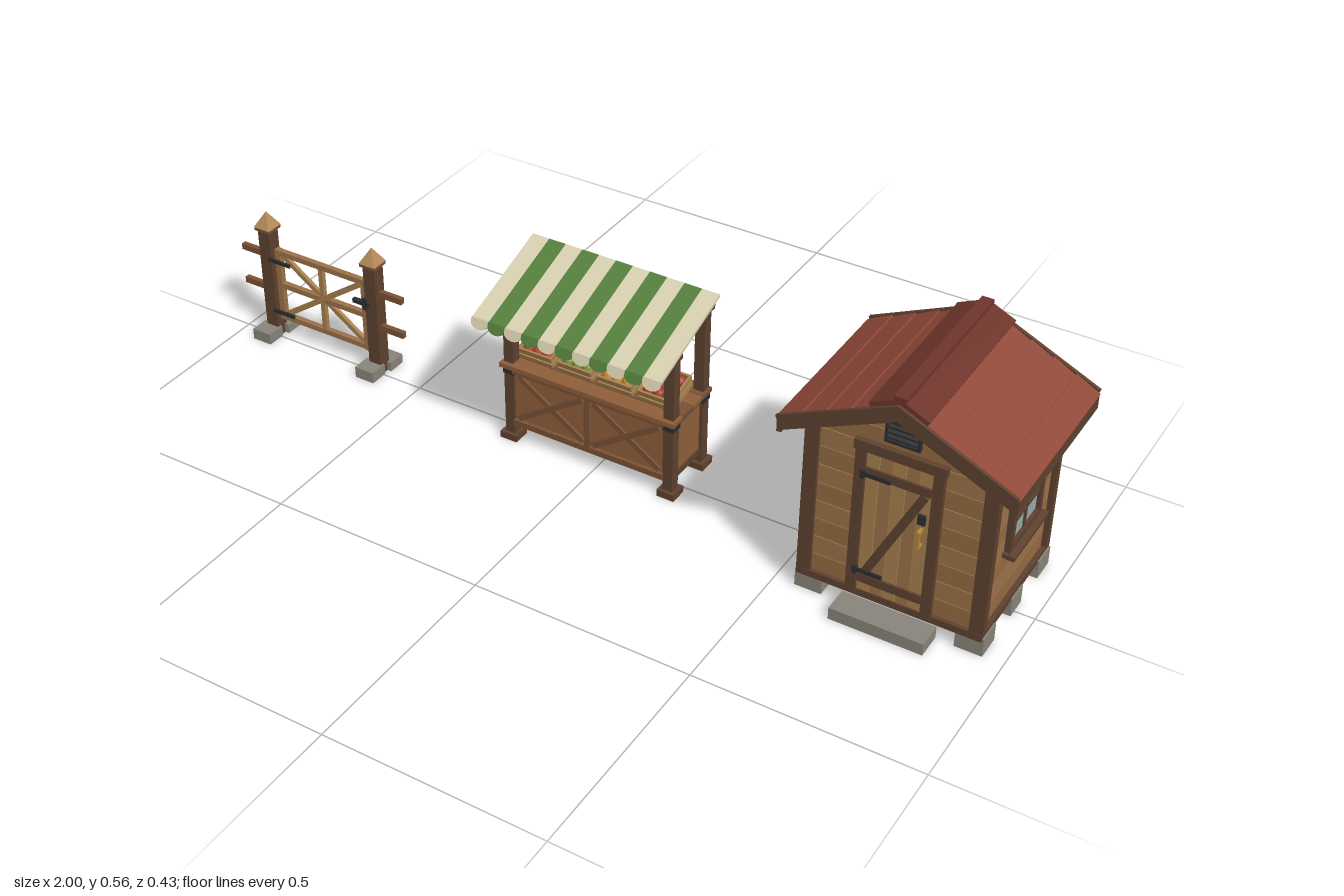
import * as THREE from 'three';

const C = {
  dark: 0x5f4130, wall: 0x9c7349, wall2: 0x956c43, light: 0xa8824f, panel: 0x8f5f3a, floor: 0x3a251c,
  stone: 0x8a857b, glass: 0x94acaa, red: 0x91493a, red2: 0x6e352b, iron: 0x2c2e30, brass: 0xb58a35,
  cream: 0xd8d0b0, green: 0x55803d, tan: 0xb58a5a, rail: 0x7a5236,
};
const mats = {};
const mat = (c) => (mats[c] ??= new THREE.MeshStandardMaterial({ color: C[c], flatShading: true, side: THREE.DoubleSide }));

function add(g, name, c, geo, pos = [0, 0, 0], rot = [0, 0, 0]) {
  const m = new THREE.Mesh(geo, mat(c));
  m.name = name;
  m.position.set(...pos);
  m.rotation.set(...rot);
  g.add(m);
  return m;
}
const box = (g, name, c, size, pos, rot) => add(g, name, c, new THREE.BoxGeometry(...size), pos, rot);
// box given by its low and high corners
const span = (g, name, c, [x0, x1], [y0, y1], [z0, z1]) =>
  box(g, name, c, [x1 - x0, y1 - y0, z1 - z0], [(x0 + x1) / 2, (y0 + y1) / 2, (z0 + z1) / 2]);
// bar between two points of an xy plane
const bar = (g, name, c, [x0, y0], [x1, y1], w, d, z) =>
  box(g, name, c, [Math.hypot(x1 - x0, y1 - y0), w, d], [(x0 + x1) / 2, (y0 + y1) / 2, z], [0, 0, Math.atan2(y1 - y0, x1 - x0)]);
const plate = (points, depth) => new THREE.ExtrudeGeometry(
  new THREE.Shape(points.map((p) => new THREE.Vector2(...p))), { depth, bevelEnabled: false });
function group(parent, name, x = 0, y = 0, z = 0) {
  const g = new THREE.Group();
  g.name = name;
  g.position.set(x, y, z);
  parent.add(g);
  return g;
}

function buildGate(root) {
  const g = group(root, 'gate', -0.772, 0, -0.012);
  for (const s of [-1, 1]) {
    const x = s * 0.15;
    span(g, 'gatePost', 'dark', [x - 0.016, x + 0.016], [0, 0.285], [-0.016, 0.016]);
    box(g, 'postCollar', 'rail', [0.042, 0.008, 0.042], [x, 0.288, 0]);
    add(g, 'postCap', 'tan', new THREE.CylinderGeometry(0, 0.031, 0.038, 4), [x, 0.311, 0], [0, Math.PI / 4, 0]);
    box(g, 'footStone', 'stone', [0.05, 0.027, 0.046], [x - 0.004, 0.0135, 0.03]);
    box(g, 'footStone', 'stone', [0.046, 0.023, 0.044], [x + 0.004, 0.0115, -0.03]);
    // short fence rails running outwards
    for (const y of [0.123, 0.214]) box(g, 'fenceRail', 'rail', [0.085, 0.015, 0.012], [s * 0.186, y, 0]);
  }
  // gate leaf
  for (const x of [-0.123, 0.123]) box(g, 'gateStile', 'wall', [0.014, 0.19, 0.014], [x, 0.143, 0]);
  for (const y of [0.056, 0.143, 0.231]) box(g, 'gateRail', 'wall', [0.25, 0.013, 0.013], [0, y, 0]);
  box(g, 'gateMullion', 'light', [0.012, 0.17, 0.011], [0, 0.143, 0]);
  for (const s of [-1, 1]) bar(g, 'gateBrace', 'light', [-0.118, 0.143 - s * 0.083], [0.118, 0.143 + s * 0.083], 0.012, 0.009, s * 0.003);
  for (const y of [0.075, 0.214]) box(g, 'gateHinge', 'iron', [0.06, 0.009, 0.005], [-0.108, y, 0.018]);
  box(g, 'gateLatch', 'iron', [0.045, 0.01, 0.01], [0.124, 0.185, 0.016]);
  box(g, 'latchPlate', 'iron', [0.01, 0.03, 0.006], [0.135, 0.185, 0.018]);
}

function buildStall(root) {
  const g = group(root, 'marketStall', -0.018, 0, 0);
  const px = 0.2, zf = 0.035, zb = -0.09;
  for (const s of [-1, 1]) {
    for (const [z, h] of [[zf, 0.37], [zb, 0.42]]) {
      box(g, 'stallPost', 'dark', [0.024, h, 0.024], [s * px, h / 2, z]);
      box(g, 'postFoot', 'dark', [0.042, 0.016, 0.042], [s * px, 0.008, z]);
      box(g, 'postBracket', 'iron', [0.028, 0.016, 0.028], [s * px, 0.18, z]);
      bar(g, 'kneeBrace', 'rail', [s * px, h - 0.06], [s * (px - 0.04), h - 0.012], 0.011, 0.012, z);
    }
    // end panel, its rails and the rafter
    span(g, 'endPanel', 'panel', [s * px - 0.004, s * px + 0.004], [0.04, 0.19], [zb, zf]);
    for (const y of [0.045, 0.18]) box(g, 'endRail', 'dark', [0.016, 0.014, 0.12], [s * px, y, (zf + zb) / 2]);
    box(g, 'rafter', 'dark', [0.016, 0.014, 0.24], [s * px, 0.382, 0.012], [0.34, 0, 0]);
  }
  box(g, 'frontBeam', 'dark', [0.44, 0.018, 0.016], [0, 0.362, zf]);
  box(g, 'backBeam', 'dark', [0.44, 0.02, 0.018], [0, 0.413, zb - 0.004]);
  box(g, 'backStretcher', 'dark', [0.4, 0.016, 0.014], [0, 0.05, zb]);
  box(g, 'backApron', 'dark', [0.4, 0.018, 0.012], [0, 0.178, zb]);

  // front panel with two crossed bays
  span(g, 'frontPanel', 'panel', [-0.19, 0.19], [0.04, 0.19], [zf - 0.004, zf + 0.006]);
  for (const y of [0.048, 0.184]) box(g, 'panelRail', 'rail', [0.38, 0.014, 0.012], [0, y, zf + 0.009]);
  box(g, 'panelStile', 'rail', [0.014, 0.13, 0.012], [0, 0.116, zf + 0.009]);
  for (const cx of [-0.095, 0.095]) for (const s of [-1, 1])
    bar(g, 'panelBrace', 'rail', [cx - 0.082, 0.116 - s * 0.055], [cx + 0.082, 0.116 + s * 0.055], 0.013, 0.006, zf + 0.009 + s * 0.001);

  // plank counter
  for (let i = 0; i < 4; i++) box(g, 'counterPlank', i % 2 ? 'panel' : 'rail', [0.436, 0.011, 0.039], [0, 0.196, -0.085 + i * 0.041]);

  // tilted crates of produce
  const colours = [0xb4452f, 0x6f8f3a, 0xc9862f, 0xa83b35];
  colours.forEach((col, i) => {
    const c = group(g, 'produceCrate', -0.15 + i * 0.1, 0.216, -0.025);
    c.rotation.x = 0.25;
    box(c, 'crateBase', 'rail', [0.08, 0.005, 0.08], [0, -0.009, 0]);
    for (const s of [-1, 1]) for (const y of [-0.002, 0.016]) {
      box(c, 'crateSlat', 'light', [0.084, 0.013, 0.005], [0, y, s * 0.04]);
      box(c, 'crateSide', 'light', [0.005, 0.013, 0.08], [s * 0.04, y, 0]);
    }
    const fruit = new THREE.MeshStandardMaterial({ color: col, flatShading: true });
    for (let k = 0; k < 9; k++) {
      const m = new THREE.Mesh(new THREE.IcosahedronGeometry(0.0135, 1), fruit);
      m.name = 'produce';
      m.position.set((k % 3 - 1) * 0.024, 0.014, (Math.floor(k / 3) - 1) * 0.024);
      c.add(m);
    }
  });

  // hanging blank board
  box(g, 'signFrame', 'rail', [0.134, 0.044, 0.007], [0, 0.289, zf]);
  for (const s of [-1, 1]) {
    box(g, 'signFace', 'cream', [0.122, 0.032, 0.002], [0, 0.289, zf + s * 0.004]);
    box(g, 'signHanger', 'iron', [0.004, 0.05, 0.004], [s * 0.05, 0.334, zf]);
  }

  // striped awning with a scalloped edge
  const n = 11, w = 0.46 / n;
  for (let i = 0; i < n; i++) {
    const x = (i - (n - 1) / 2) * w, c = i % 2 ? 'green' : 'cream';
    box(g, 'awningStripe', c, [w, 0.007, 0.25], [x, 0.395, 0.014], [0.34, 0, 0]);
    const edge = [[-w / 2, 0]];
    for (let k = 0; k <= 8; k++) edge.push([-w / 2 * Math.cos(k * Math.PI / 8), -0.01 - 0.014 * Math.sin(k * Math.PI / 8)]);
    edge.push([w / 2, 0]);
    add(g, 'awningScallop', c, plate(edge, 0.005), [x, 0.357, 0.129], [-0.35, 0, 0]);
  }
}

function buildShed(root) {
  const g = group(root, 'shed', 0.75, 0, -0.008);
  const hx = 0.2, hz = 0.168, slope = 0.46, under = (d) => 0.515 - slope * d;

  // foundation stones, step, floor and joists
  for (const x of [-0.175, 0.175]) for (const z of [-0.139, 0, 0.136])
    box(g, 'foundationStone', 'stone', [0.06, 0.043, z ? 0.058 : 0.052], [x, 0.0215, z]);
  span(g, 'doorStep', 'stone', [-0.1, 0.105], [0, 0.028], [0.162, 0.223]);
  span(g, 'floor', 'floor', [-0.19, 0.19], [0.034, 0.05], [-0.16, 0.16]);
  for (const s of [-1, 1]) {
    box(g, 'sideSill', 'dark', [0.022, 0.016, 0.338], [s * 0.19, 0.045, 0]);
    box(g, 'endSill', 'dark', [0.4, 0.016, 0.022], [0, 0.045, s * 0.158]);
    box(g, 'joist', 'dark', [0.36, 0.03, 0.04], [0, 0.024, s * 0.075]);
    box(g, 'skid', 'dark', [0.03, 0.026, 0.25], [s * 0.165, 0.024, 0]);
  }

  // dark core seen through the gaps between planks
  const core = [[-0.184, 0.05], [0.184, 0.05], [0.184, under(0.184)], [0, under(0)], [-0.184, under(0.184)]];
  add(g, 'wallCore', 'floor', plate(core, 0.304), [0, 0, -0.152]);

  // wall planks, trimmed to the gable at the ends
  const step = 0.0443, halfWidth = (y) => Math.max(0.001, Math.min(0.186, (0.515 - y) / slope));
  for (let i = 0; i < 11; i++) {
    const y0 = 0.051 + i * step, y1 = Math.min(y0 + step - 0.002, 0.514), c = i % 2 ? 'wall' : 'wall2';
    const a = halfWidth(y0), b = halfWidth(y1);
    for (const s of [-1, 1]) {
      add(g, 'endPlank', c, plate([[-a, y0], [a, y0], [b, y1], [-b, y1]], 0.008), [0, 0, s > 0 ? 0.152 : -0.16]);
      if (i < 8) span(g, 'sidePlank', c, s > 0 ? [0.183, 0.191] : [-0.191, -0.183], [y0, y1], [-0.152, 0.152]);
    }
  }
  for (const x of [-1, 1]) {
    for (const z of [-1, 1]) box(g, 'cornerPost', 'dark', [0.03, 0.375, 0.019], [x * 0.187, 0.236, z * (hz - 0.0095)]);
    for (const z of [-1, 1]) box(g, 'cornerReturn', 'dark', [0.012, 0.375, 0.02], [x * (hx - 0.006), 0.236, z * (hz - 0.01)]);
  }

  // plank door with a braced frame
  for (const s of [-1, 1]) box(g, 'doorJamb', 'dark', [0.022, 0.37, 0.016], [s * 0.081, 0.226, 0.164]);
  box(g, 'doorHead', 'dark', [0.192, 0.022, 0.018], [0, 0.403, 0.164]);
  for (let i = 0; i < 5; i++) box(g, 'doorPlank', i % 2 ? 'wall' : 'light', [0.0265, 0.348, 0.008], [(i - 2) * 0.028, 0.218, 0.162]);
  for (const y of [0.085, 0.345]) box(g, 'doorLedge', 'dark', [0.136, 0.02, 0.006], [0, y, 0.168]);
  bar(g, 'doorBrace', 'dark', [-0.056, 0.097], [0.056, 0.333], 0.018, 0.005, 0.168);
  for (const y of [0.105, 0.34]) {
    box(g, 'doorHinge', 'iron', [0.06, 0.009, 0.004], [-0.045, y, 0.173]);
    box(g, 'hingePin', 'iron', [0.009, 0.018, 0.009], [-0.073, y, 0.173]);
  }
  box(g, 'doorLock', 'iron', [0.016, 0.022, 0.007], [0.055, 0.28, 0.172]);
  box(g, 'doorHandle', 'brass', [0.007, 0.042, 0.005], [0.055, 0.235, 0.181]);
  for (const y of [0.217, 0.253]) box(g, 'handleMount', 'brass', [0.007, 0.006, 0.016], [0.055, y, 0.173]);

  // windows on the left side and the back
  for (const [x, z, ry] of [[0.19, 0, Math.PI / 2], [0, -0.16, Math.PI]]) {
    const w = group(g, 'window', x, 0, z);
    w.rotation.y = ry;
    box(w, 'glass', 'glass', [0.13, 0.12, 0.006], [0, 0.26, 0.003]);
    for (const s of [-1, 1]) {
      box(w, 'windowJamb', 'dark', [0.015, 0.132, 0.016], [s * 0.07, 0.262, 0.006]);
      box(w, 'windowRail', 'dark', [0.154, 0.014, 0.016], [0, 0.262 + s * 0.059, 0.006]);
    }
    box(w, 'mullion', 'dark', [0.008, 0.115, 0.01], [0, 0.26, 0.005]);
    box(w, 'transom', 'dark', [0.13, 0.008, 0.01], [0, 0.258, 0.005]);
    box(w, 'windowSill', 'dark', [0.171, 0.01, 0.03], [0, 0.191, 0.012], [0.08, 0, 0]);
  }

  // louvred vents in both gables
  for (const ry of [0, Math.PI]) {
    const v = group(g, 'gableVent', 0, 0.455, 0);
    v.rotation.y = ry;
    box(v, 'ventBack', 'floor', [0.066, 0.046, 0.006], [0, 0, 0.161]);
    for (const s of [-1, 1]) {
      box(v, 'ventSide', 'iron', [0.006, 0.052, 0.012], [s * 0.034, 0, 0.163]);
      box(v, 'ventRail', 'iron', [0.074, 0.006, 0.012], [0, s * 0.024, 0.163]);
    }
    for (const y of [-0.012, 0, 0.012]) box(v, 'ventSlat', 'iron', [0.062, 0.003, 0.01], [0, y, 0.165], [0.6, 0, 0]);
  }

  // roof: deck, five overlapping courses, trim boards and ridge caps on each slope
  const ang = Math.atan(slope), len = 0.25 / Math.cos(ang);
  for (const s of [-1, 1]) {
    const r = group(g, 'roofSlope', 0, 0.542, 0);
    r.rotation.set(0, s > 0 ? 0 : Math.PI, -ang, 'YXZ');
    const mid = 0;
    box(r, 'roofDeck', 'dark', [len, 0.012, 0.394], [len / 2 - 0.004, -0.018, mid]);
    for (let i = 0; i < 5; i++)
      box(r, 'roofCourse', 'red', [0.06, 0.008, 0.394], [0.029 + i * (len - 0.003) / 5, -0.006, mid], [0, 0, -0.07]);
    box(r, 'ridgeCap', 'red2', [0.058, 0.01, 0.398], [0.034, 0.007, mid]);
    for (const z of [-1, 1]) box(r, 'bargeBoard', 'dark', [len, 0.032, 0.008], [len / 2 - 0.002, -0.015, z * 0.201]);
    box(g, 'eaveFascia', 'dark', [0.01, 0.032, 0.396], [s * 0.243, 0.404, 0]);
  }
  box(g, 'ridgeBeam', 'red2', [0.026, 0.018, 0.397], [0, 0.55, 0]);
}

export function createModel() {
  const root = new THREE.Group();
  root.name = 'farmyardSet';
  buildGate(root);
  buildStall(root);
  buildShed(root);
  return root;
}
